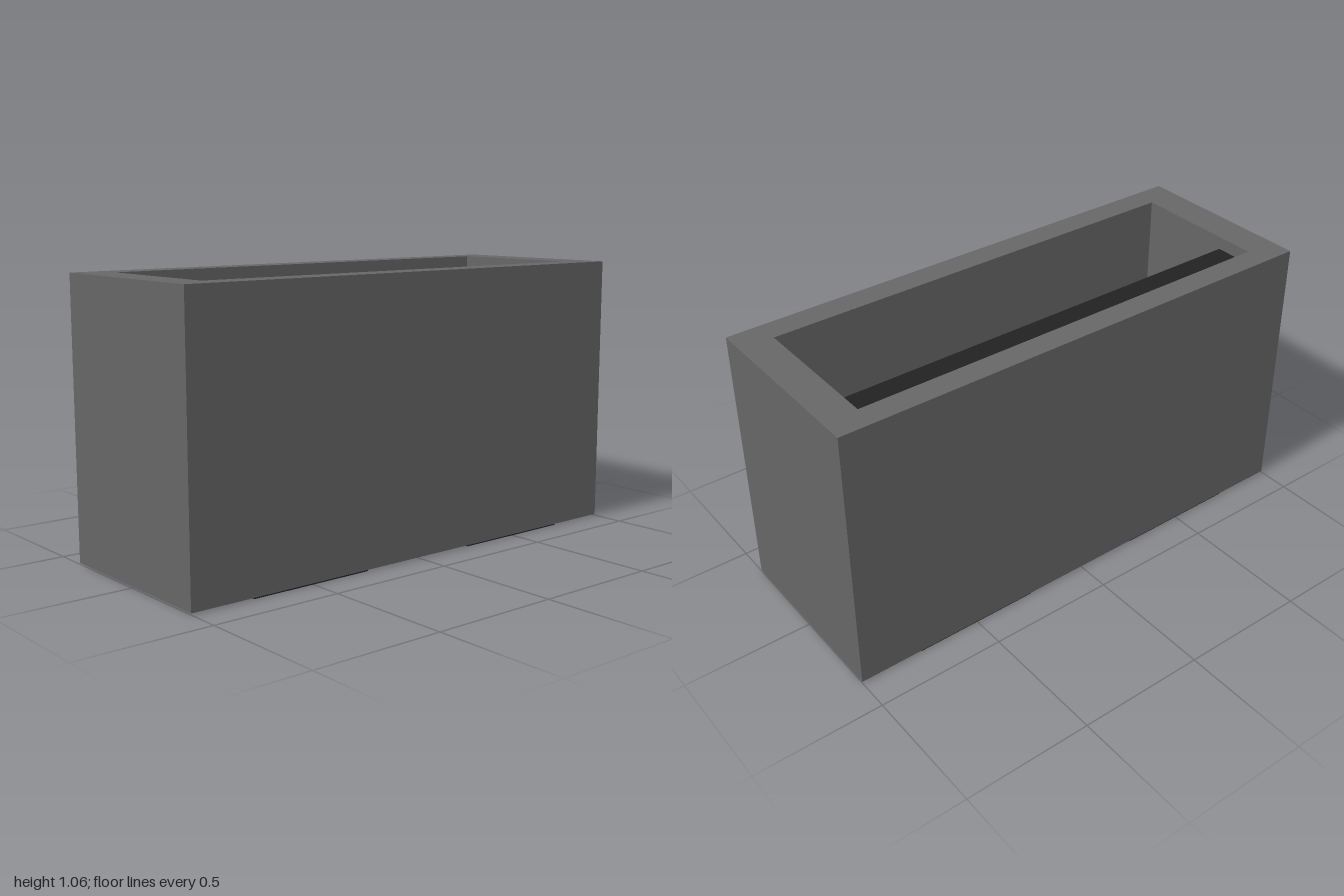
import * as THREE from 'three';

const mat = (color) => new THREE.MeshStandardMaterial({ color });

// Box given by its min and max corners
function box(name, material, [x0, y0, z0], [x1, y1, z1]) {
  const mesh = new THREE.Mesh(new THREE.BoxGeometry(x1 - x0, y1 - y0, z1 - z0), material);
  mesh.position.set((x0 + x1) / 2, (y0 + y1) / 2, (z0 + z1) / 2);
  mesh.name = name;
  return mesh;
}

const rectangle = (Type, x0, z0, x1, z1) => new Type([
  new THREE.Vector2(x0, z0), new THREE.Vector2(x1, z0),
  new THREE.Vector2(x1, z1), new THREE.Vector2(x0, z1),
]);

export function createModel() {
  const group = new THREE.Group();
  group.name = 'openHousing';
  const grey = mat(0x666666), dark = mat(0x222222), orange = mat(0xee7711);

  // Rectangular sleeve, open at top and bottom
  const outline = rectangle(THREE.Shape, -1, -0.37, 1, 0.37);
  outline.holes.push(rectangle(THREE.Path, -0.87, -0.27, 0.87, 0.275));
  const sleeveGeometry = new THREE.ExtrudeGeometry(outline, { depth: 1.055, bevelEnabled: false });
  sleeveGeometry.rotateX(-Math.PI / 2).translate(0, 0.005, 0);
  const sleeve = new THREE.Mesh(sleeveGeometry, grey);
  sleeve.name = 'sleeve';
  group.add(sleeve);

  // Dark panel against the back wall, its ends let into the side walls
  group.add(box('backPanel', dark, [-0.895, 0, -0.28], [0.895, 1.01, -0.125]));

  // Three raised bars on the panel
  [[-0.685, -0.365, 0.93], [-0.16, 0.165, 0.92], [0.345, 0.67, 0.93]].forEach(([x0, x1, top]) => {
    group.add(box('raisedBar', orange, [x0, 0.1, -0.13], [x1, top, -0.065]));
  });

  // Thin pads under the front and back walls
  for (const sx of [-1, 1]) {
    for (const sz of [-1, 1]) {
      const pad = box('basePad', dark, [-0.25, 0, -0.045], [0.25, 0.006, 0.045]);
      pad.position.x = sx * 0.5;
      pad.position.z = sz * 0.323;
      group.add(pad);
    }
  }
  return group;
}
